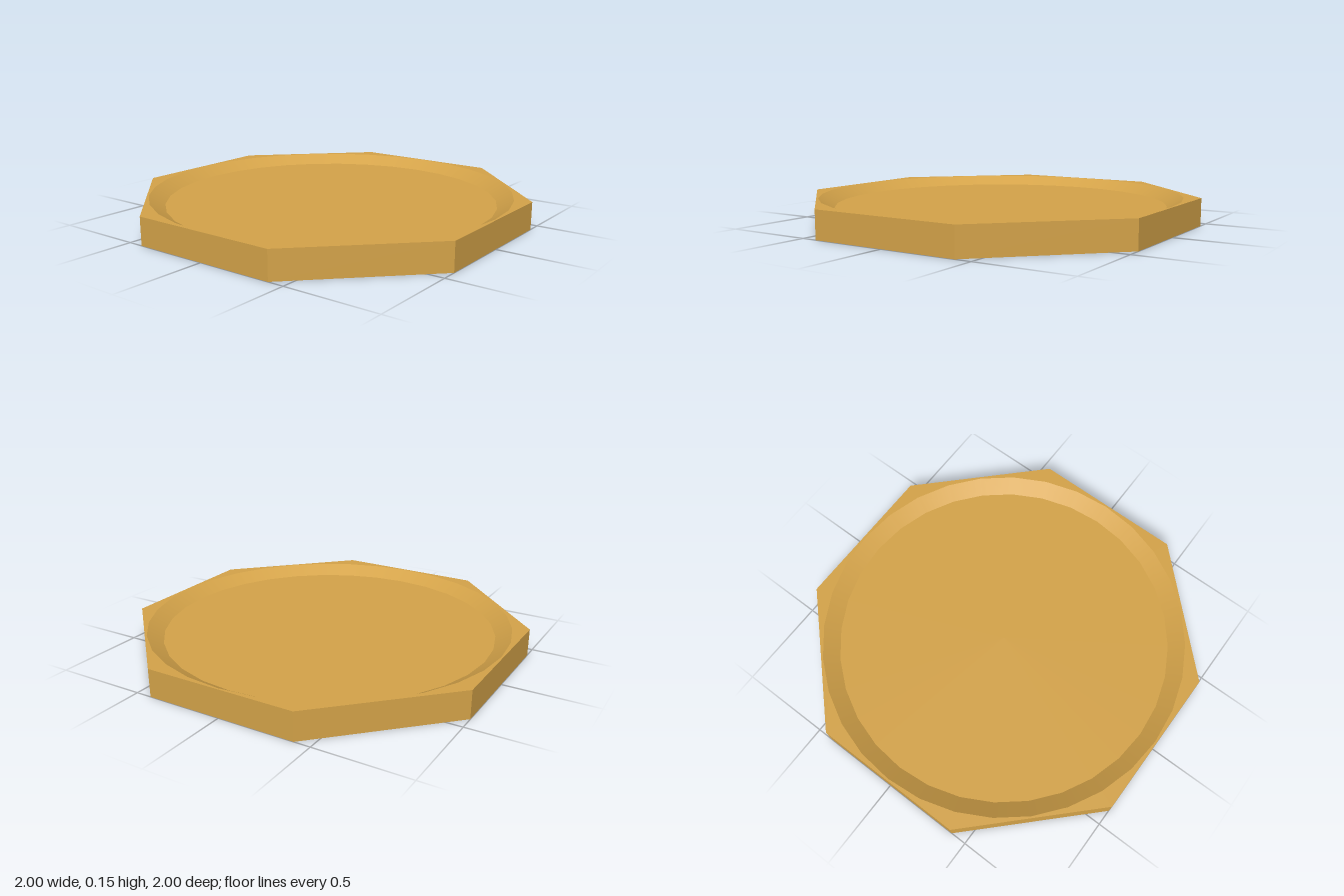
import * as THREE from 'three';

const HEIGHT = 0.15;
const FLOOR_Y = 0.1;
const RIM_R = 0.99;
const FLOOR_R = 0.905;
const SEGMENTS = 32;
const CORNER_R = 1 / Math.cos(Math.PI / 8);

// Points of a regular polygon
function ring(radius, count, start = 0) {
  return Array.from({ length: count }, (_, i) => {
    const a = start + (i / count) * Math.PI * 2;
    return new THREE.Vector2(radius * Math.cos(a), radius * Math.sin(a));
  });
}

export function createModel() {
  const group = new THREE.Group();
  group.name = 'octagonalTray';
  const flat = new THREE.MeshStandardMaterial({ color: 0xd4a349, flatShading: true });
  const smooth = new THREE.MeshStandardMaterial({ color: 0xd4a349 });

  const add = (name, geometry, material, y = 0) => {
    const mesh = new THREE.Mesh(geometry, material);
    mesh.name = name;
    mesh.position.y = y;
    group.add(mesh);
  };

  // Eight upright outer sides
  add('outerSides', new THREE.CylinderGeometry(CORNER_R, CORNER_R, HEIGHT, 8, 1, true, Math.PI / 8), flat, HEIGHT / 2);

  // Flat underside
  add('underside', new THREE.CircleGeometry(CORNER_R, 8, Math.PI / 8).rotateX(Math.PI / 2), flat);

  // Top rim: octagon with a round opening
  const rim = new THREE.Shape(ring(CORNER_R, 8, Math.PI / 8));
  rim.holes.push(new THREE.Path(ring(RIM_R, SEGMENTS)));
  add('topRim', new THREE.ShapeGeometry(rim).rotateX(-Math.PI / 2), flat, HEIGHT);

  // Sloping wall of the shallow recess, facing inward
  const slope = [new THREE.Vector2(RIM_R, HEIGHT), new THREE.Vector2(FLOOR_R, FLOOR_Y)];
  add('recessWall', new THREE.LatheGeometry(slope, SEGMENTS), smooth);

  // Flat recess floor
  add('recessFloor', new THREE.CircleGeometry(FLOOR_R, SEGMENTS).rotateX(-Math.PI / 2), flat, FLOOR_Y);

  return group;
}
